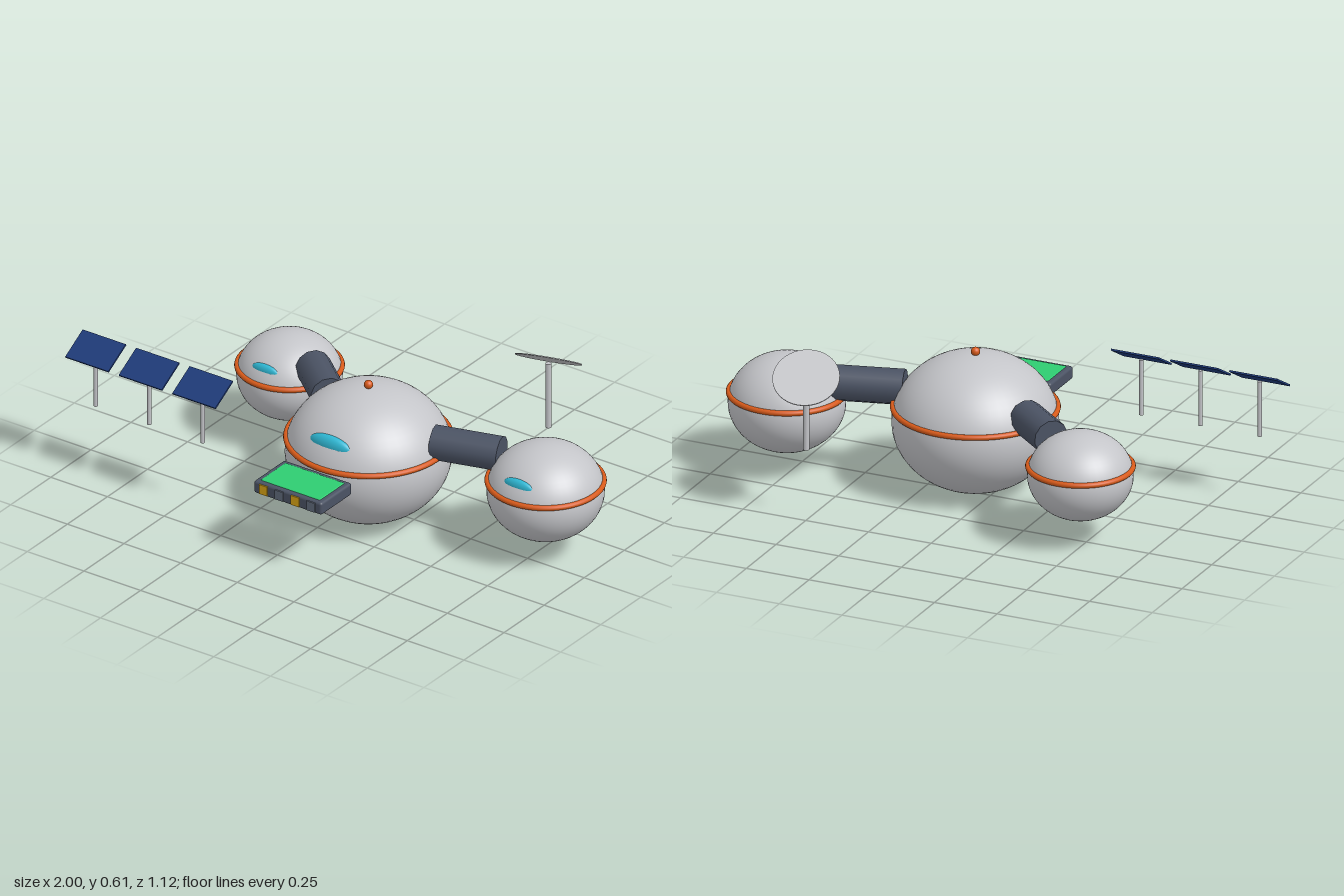
import * as THREE from 'three';
import { RoundedBoxGeometry } from 'three/addons/geometries/RoundedBoxGeometry.js';

const mat = (name, color) => {
  const m = new THREE.MeshStandardMaterial({ color });
  m.name = name;
  return m;
};

export function createModel() {
  const root = new THREE.Group();
  root.name = 'domeBase';
  const hull = mat('hull grey', 0xc4c5c9);
  const orange = mat('orange trim', 0xd95b1a);
  const slate = mat('dark slate', 0x4b5364);
  const glass = mat('cyan glass', 0x2fb8d4);
  const green = mat('plant green', 0x2ecc71);
  const navy = mat('solar navy', 0x1f3b7a);
  const yellow = mat('yellow crate', 0xdba514);
  const grey = mat('grey crate', 0x626c7c);

  const add = (parent, name, geo, material, x, y, z) => {
    const m = new THREE.Mesh(geo, material);
    m.name = name;
    m.position.set(x, y, z);
    parent.add(m);
    return m;
  };

  // Squashed dome with a trim ring and a front window, scaled by s
  const dome = (name, s, x, z) => {
    const g = new THREE.Group();
    g.name = name;
    g.position.set(x, 0.2585, z);
    root.add(g);
    add(g, 'shell', new THREE.SphereGeometry(0.303 * s, 48, 32), hull, 0, 0, 0).scale.y = 0.85;
    const ring = new THREE.TorusGeometry(0.298 * s, 0.0103, 12, 64);
    add(g, 'trimRing', ring, orange, 0, 0.0555 * s, 0).rotation.x = Math.PI / 2;
    const win = add(g, 'window', new THREE.SphereGeometry(1, 32, 16), glass, 0, 0.1275 * s, 0.237 * s);
    win.scale.set(0.09 * s, 0.038 * s, 0.026 * s);
  };
  dome('mainDome', 1, 0.085, 0.051);
  dome('leftDome', 0.706, 0.776, -0.076);
  dome('rightDome', 0.635, -0.476, -0.2485);
  add(root, 'beacon', new THREE.SphereGeometry(0.0165, 24, 16), orange, 0.085, 0.528, 0.052);

  // Tubular corridors between the domes
  const corridor = (name, x0, z0, x1, z1) => {
    const d = new THREE.Vector3(x1 - x0, 0, z1 - z0);
    const geo = new THREE.CylinderGeometry(0.066, 0.066, d.length(), 12);
    const m = add(root, name, geo, slate, (x0 + x1) / 2, 0.357, (z0 + z1) / 2);
    m.quaternion.setFromUnitVectors(new THREE.Vector3(0, 1, 0), d.normalize());
  };
  corridor('leftCorridor', 0.348, 0.013, 0.596, -0.056);
  corridor('rightCorridor', -0.168, -0.056, -0.334, -0.195);

  // Planter deck with a green bed and crates along its front
  add(root, 'planterDeck', new RoundedBoxGeometry(0.3, 0.05, 0.192, 3, 0.01), slate, 0.083, 0.286, 0.459);
  add(root, 'plantBed', new RoundedBoxGeometry(0.262, 0.012, 0.156, 3, 0.005), green, 0.083, 0.308, 0.46);
  for (let i = 0; i < 4; i++) {
    add(root, 'crate', new THREE.BoxGeometry(0.036, 0.038, 0.009),
      i % 2 ? grey : yellow, -0.022 + i * 0.07, 0.286, 0.5545);
  }

  // Row of tilted solar panels on poles
  for (const x of [-0.905, -0.669, -0.433]) {
    add(root, 'panelPole', new THREE.CylinderGeometry(0.008, 0.008, 0.214, 16), hull, x, 0.367, 0.354);
    const p = add(root, 'solarPanel', new THREE.BoxGeometry(0.19, 0.007, 0.126), navy, x, 0.4855, 0.354);
    p.rotation.x = Math.PI / 6;
  }

  // Tilted antenna disc on a mast
  add(root, 'antennaMast', new THREE.CylinderGeometry(0.0115, 0.0115, 0.262, 16), hull, 0.517, 0.391, -0.46);
  const dish = add(root, 'antennaDish', new THREE.CylinderGeometry(0.122, 0.122, 0.004, 40), hull, 0.518, 0.539, -0.459);
  dish.quaternion.setFromUnitVectors(new THREE.Vector3(0, 1, 0),
    new THREE.Vector3(-0.17, 0.835, -0.525).normalize());

  return root;
}
